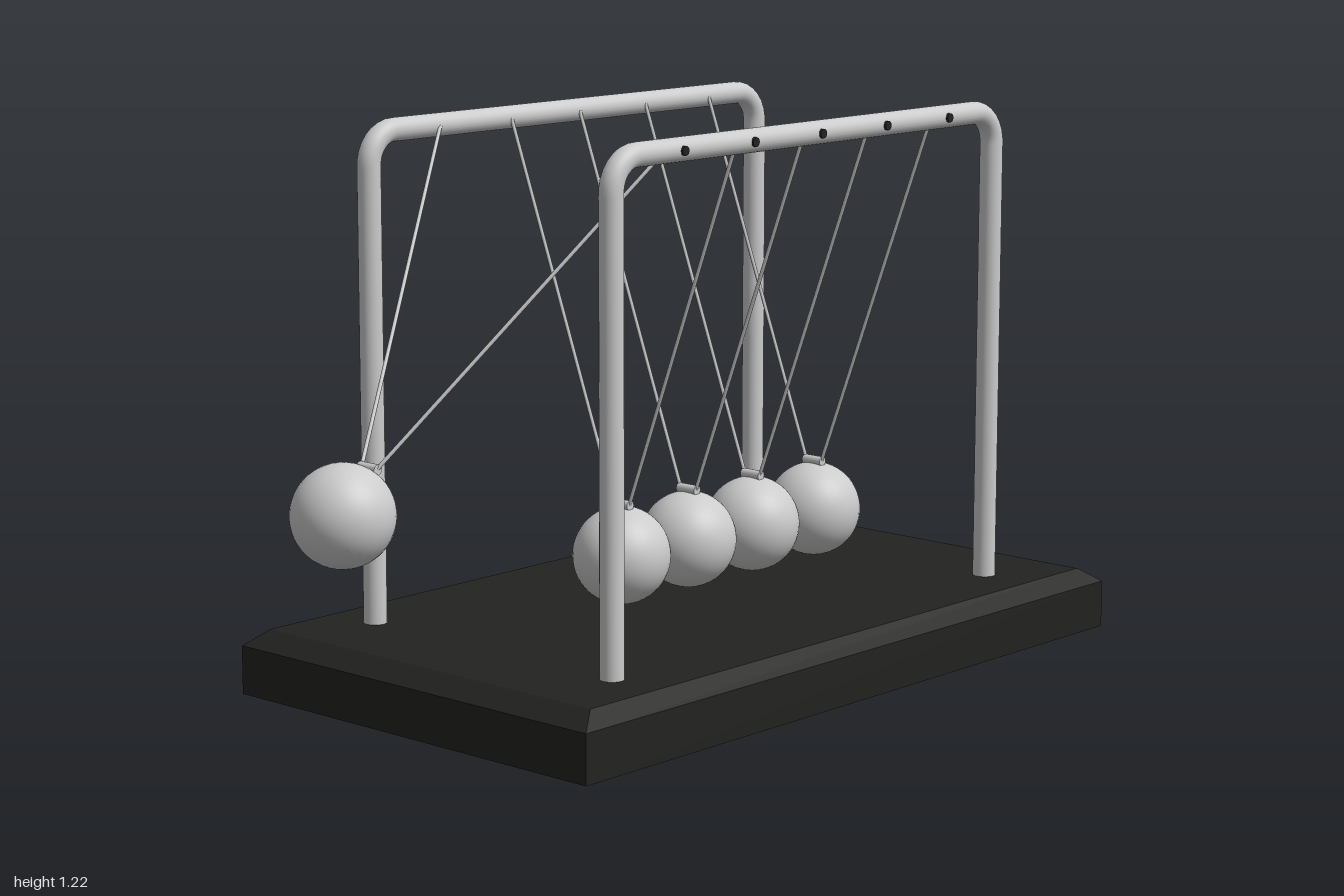
import * as THREE from 'three';

const steel = new THREE.MeshStandardMaterial({ color: 0xcccccc });
const black = new THREE.MeshStandardMaterial({ color: 0x222220 });

const BASE = { w: 1.01, h: 0.139, zBack: -1, zFront: 0.727 };
const RAIL = { x: 0.348, y: 1.197, r: 0.0255, zBack: -0.757, zFront: 0.484, bend: 0.07 };
const BALL = { r: 0.107, drop: 0.924, spacing: 0.216, firstZ: 0.296, count: 5 };
const SWING = THREE.MathUtils.degToRad(40.2);

function add(parent, name, geometry, material) {
  const mesh = new THREE.Mesh(geometry, material);
  mesh.name = name;
  parent.add(mesh);
  return mesh;
}

// Cylinder between two points
function rod(parent, name, a, b, radius, material, sides = 12) {
  const dir = b.clone().sub(a);
  const mesh = add(parent, name, new THREE.CylinderGeometry(radius, radius, dir.length(), sides), material);
  mesh.position.copy(a).add(b).multiplyScalar(0.5);
  mesh.quaternion.setFromUnitVectors(new THREE.Vector3(0, 1, 0), dir.normalize());
  return mesh;
}

// Slab whose top edges are chamfered
function baseGeometry() {
  const depth = BASE.zFront - BASE.zBack;
  const box = new THREE.BoxGeometry(BASE.w, BASE.h, depth, 1, 2, 1);
  const p = box.attributes.position;
  for (let i = 0; i < p.count; i++) {
    const y = p.getY(i);
    if (Math.abs(y) < 1e-6) p.setY(i, BASE.h / 2 - 0.033);
    else if (y > 0) {
      p.setX(i, p.getX(i) - Math.sign(p.getX(i)) * 0.035);
      p.setZ(i, p.getZ(i) - Math.sign(p.getZ(i)) * 0.05);
    }
  }
  const flat = box.toNonIndexed();
  flat.computeVertexNormals();
  return flat.translate(0, BASE.h / 2, (BASE.zFront + BASE.zBack) / 2);
}

// Bent tube: post, rail, post with rounded corners
function frameGeometry(x) {
  const { y, r, zBack, zFront, bend } = RAIL;
  const v = (py, pz) => new THREE.Vector3(x, py, pz);
  const k = bend * 0.4477;
  const path = new THREE.CurvePath();
  path.add(new THREE.LineCurve3(v(BASE.h - 0.02, zFront), v(y - bend, zFront)));
  path.add(new THREE.CubicBezierCurve3(v(y - bend, zFront), v(y - k, zFront), v(y, zFront - k), v(y, zFront - bend)));
  path.add(new THREE.LineCurve3(v(y, zFront - bend), v(y, zBack + bend)));
  path.add(new THREE.CubicBezierCurve3(v(y, zBack + bend), v(y, zBack + k), v(y - k, zBack), v(y - bend, zBack)));
  path.add(new THREE.LineCurve3(v(y - bend, zBack), v(BASE.h - 0.02, zBack)));
  return new THREE.TubeGeometry(path, 220, r, 24, false);
}

// Ball with its eyelet and two strings, hung from the rail line at the origin
function pendulum() {
  const group = new THREE.Group();
  add(group, 'ball', new THREE.SphereGeometry(BALL.r, 40, 28), steel).position.y = -BALL.drop;
  const eyeY = -BALL.drop + BALL.r + 0.005;
  rod(group, 'eyelet', new THREE.Vector3(-0.026, eyeY, 0), new THREE.Vector3(0.026, eyeY, 0), 0.011, steel, 16);
  for (const s of [-1, 1]) {
    rod(group, 'string', new THREE.Vector3(s * 0.325, 0, 0), new THREE.Vector3(s * 0.022, eyeY, 0), 0.0042, steel, 8);
  }
  return group;
}

export function createModel() {
  const model = new THREE.Group();
  model.name = 'swingingBalls';
  add(model, 'base', baseGeometry(), black);

  for (const s of [-1, 1]) add(model, s > 0 ? 'leftFrame' : 'rightFrame', frameGeometry(s * RAIL.x), steel);

  for (let i = 0; i < BALL.count; i++) {
    const z = BALL.firstZ - i * BALL.spacing;
    const p = pendulum();
    p.name = i === 0 ? 'raisedPendulum' : 'restingPendulum';
    p.position.set(0, RAIL.y, z);
    if (i === 0) p.rotation.x = -SWING;
    model.add(p);

    // Anchor pins on the outside of both rails
    for (const s of [-1, 1]) {
      rod(model, 'anchorPin', new THREE.Vector3(s * 0.355, RAIL.y, z), new THREE.Vector3(s * 0.378, RAIL.y, z), 0.01, black, 16);
    }
  }
  return model;
}
